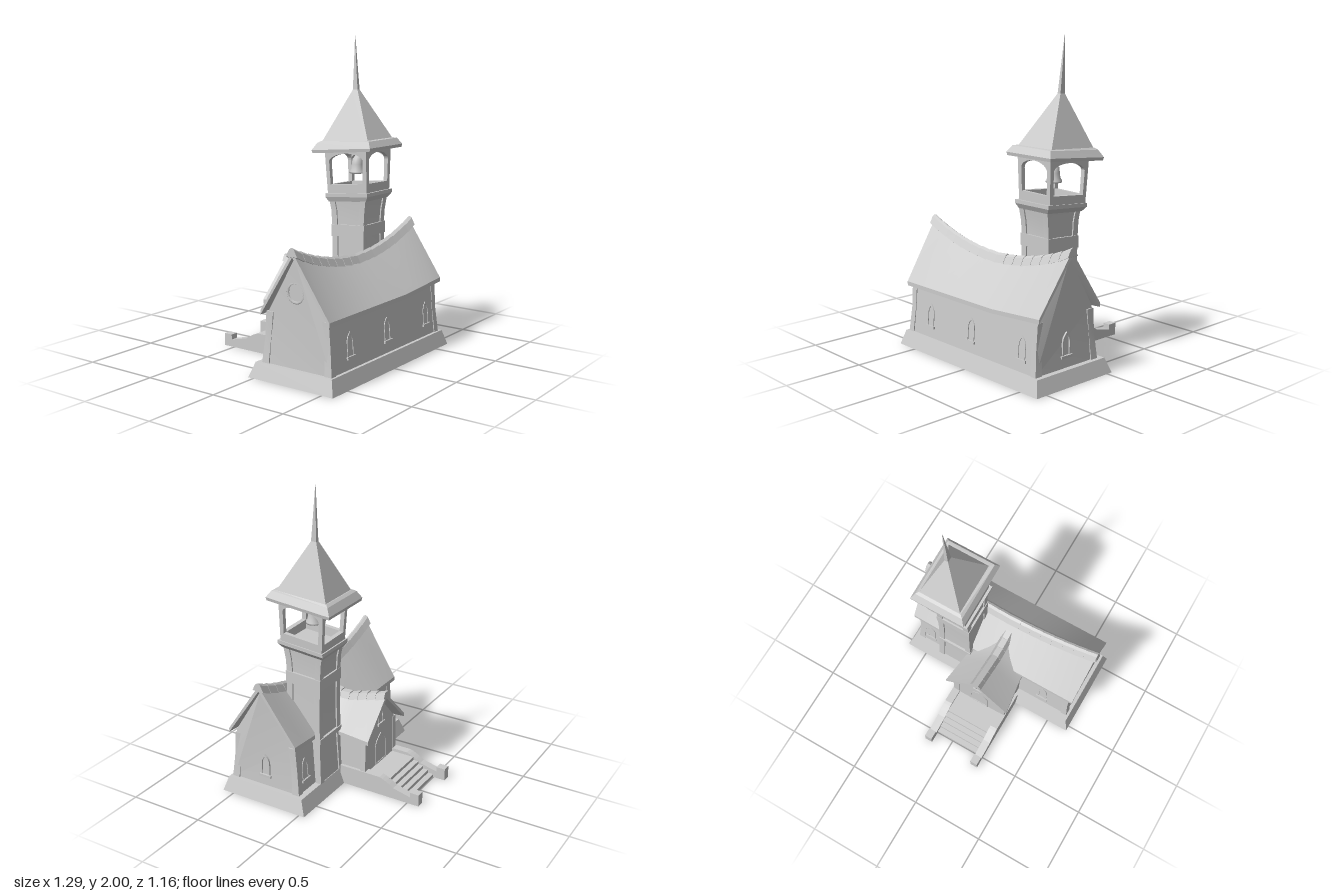
import * as THREE from 'three';
import { toCreasedNormals } from 'three/addons/utils/BufferGeometryUtils.js';

const grey = new THREE.MeshStandardMaterial({ color: 0xcccccc });
const greyOpen = new THREE.MeshStandardMaterial({ color: 0xcccccc, side: THREE.DoubleSide });
const lerp = THREE.MathUtils.lerp;

function mesh(parent, name, geo, mat = grey) {
  const m = new THREE.Mesh(geo, mat);
  m.name = name;
  parent.add(m);
  return m;
}

// Solid through rings of [x, y, z] points, faces turned outward; the first ring may stay open
function loft(rings, open = false) {
  const n = rings[0].length, pts = rings.flat(), tris = [];
  for (let r = 0; r < rings.length - 1; r++) {
    for (let i = 0; i < n; i++) {
      const a = r * n + i, b = r * n + (i + 1) % n;
      tris.push([a, b, b + n], [a, b + n, a + n]);
    }
  }
  const last = (rings.length - 1) * n;
  for (let i = 1; i < n - 1; i++) {
    if (!open) tris.push([0, i + 1, i]);
    tris.push([last, last + i, last + i + 1]);
  }
  const v = pts.map(p => new THREE.Vector3(...p));
  let volume = 0;
  for (const [a, b, c] of tris) volume += v[a].clone().sub(v[0]).dot(v[b].clone().sub(v[0]).cross(v[c].clone().sub(v[0])));
  if (volume < 0) tris.forEach(t => t.reverse());
  const g = new THREE.BufferGeometry();
  g.setAttribute('position', new THREE.Float32BufferAttribute(tris.flat().flatMap(i => pts[i]), 3));
  return toCreasedNormals(g, 0.25);
}

// Horizontal rectangle ring; tilt raises the +z side
const rect = (y, cx, cz, hx, hz, tilt = 0) =>
  [[-1, -1], [1, -1], [1, 1], [-1, 1]].map(([a, b]) => [cx + a * hx, y + tilt * b * hz, cz + b * hz]);

// Pointed arch outline standing on y = y0
function pointedArch(w, h, y0 = 0, C = THREE.Shape) {
  const s = new C();
  s.moveTo(-w / 2, y0);
  s.lineTo(w / 2, y0);
  s.lineTo(w / 2, y0 + h * 0.6);
  s.quadraticCurveTo(w / 2, y0 + h * 0.82, 0, y0 + h);
  s.quadraticCurveTo(-w / 2, y0 + h * 0.82, -w / 2, y0 + h * 0.6);
  return s;
}

// Framed arch lying against a wall that leans inward
function archOpening(parent, name, x, y, z, turn, lean, w, h, sill = true) {
  const g = new THREE.Group();
  g.name = name;
  const s = pointedArch(w, h);
  s.holes.push(pointedArch(w - 0.018, h - 0.022, 0.008, THREE.Path));
  const frame = new THREE.ExtrudeGeometry(s, { depth: 0.014, bevelEnabled: false, curveSegments: 4 });
  mesh(g, 'archFrame', frame.translate(0, 0, -0.01));
  if (sill) mesh(g, 'sill', new THREE.BoxGeometry(0.084, 0.016, 0.02));
  g.position.set(x, y, z);
  g.rotation.set(-lean, turn, 0, 'YXZ');
  parent.add(g);
}

// Sagging main roof lines
const ridgeY = x => 0.661 + 0.345 * (x + 0.01) ** 2;
const eaveY = x => x < 0.2 ? 0.402 : 0.402 + (x - 0.2) * 0.07;
const MID = 0.285;

function buildHall(root) {
  const hall = new THREE.Group();
  hall.name = 'hall';
  root.add(hall);
  // Plinth, hollow underneath
  mesh(hall, 'plinth', loft([rect(0, -0.003, 0.27, 0.647, 0.308), rect(0.095, -0.003, 0.274, 0.618, 0.276)], true), greyOpen);
  const steps = Array.from({ length: 13 }, (_, i) => i / 12);

  // Walls with gables, cross-section swept along x
  mesh(hall, 'walls', loft(steps.map(t => {
    const xb = lerp(-0.595, 0.58, t), xe = lerp(-0.585, 0.57, t), xr = lerp(-0.615, 0.605, t);
    return [[xb, 0.095, 0.53], [xe, eaveY(xe) - 0.002, 0.505], [xr, ridgeY(xr) - 0.034, MID],
      [xe, eaveY(xe) - 0.002, 0.065], [xb, 0.095, 0.04]];
  })));
  for (const s of [-1, 1]) {
    mesh(hall, 'roofSlope', loft(steps.map(t => {
      const xe = lerp(-0.62, 0.612, t), xr = lerp(-0.638, 0.625, t), ze = MID + s * 0.247;
      return [[xe, eaveY(xe) + 0.015, ze], [xr, ridgeY(xr), MID], [xr, ridgeY(xr) - 0.034, MID], [xe, eaveY(xe) - 0.012, ze]];
    })));
    for (const [xb, xt] of [[-0.582, -0.572], [0.567, 0.557]]) {
      mesh(hall, 'cornerPost', loft([rect(0.095, xb, MID + s * 0.227, 0.022, 0.025),
        rect(0.25, xt, MID + s * 0.214, 0.02, 0.022), rect(0.41, xt, MID + s * 0.2, 0.022, 0.025)]));
    }
  }
  // Ridge tiles, each one lapping over the next
  for (let i = 0; i < 16; i++) {
    const a = lerp(-0.643, 0.63, i / 16), b = lerp(-0.643, 0.63, (i + 1) / 16);
    const ring = (x, k) => [[-0.038, 0.04], [0.006, 0.017], [0.017, 0], [0.006, -0.017], [-0.038, -0.04]]
      .map(([y, z]) => [x, ridgeY(x) + k + y, MID + z]);
    const lift = i < 8 ? [0.005, 0] : [0, 0.005];
    mesh(hall, 'ridgeTile', loft([ring(a, lift[0]), ring(b, lift[1])]));
  }
  // Windows
  for (const x of [-0.395, 0, 0.455]) archOpening(hall, 'frontWindow', x, 0.165, 0.525, 0, 0.08, 0.065, 0.15);
  for (const x of [-0.4, 0.49]) archOpening(hall, 'backWindow', x, 0.165, 0.045, Math.PI, 0.08, 0.065, 0.15);
  archOpening(hall, 'gableWindow', 0.58, 0.165, MID, Math.PI / 2, -0.03, 0.065, 0.15);
  const round = mesh(hall, 'roundWindow', new THREE.TorusGeometry(0.058, 0.009, 4, 14));
  round.position.set(-0.602, 0.55, MID);
  round.rotation.y = Math.PI / 2;
}

// Shape in (-z, y) swept along x from x0
function sweepX(shape, x0, width) {
  const g = new THREE.ExtrudeGeometry(shape, { depth: width, bevelEnabled: false, curveSegments: 4 });
  return g.rotateY(Math.PI / 2).translate(x0, 0, 0);
}

function buildPorch(root) {
  const porch = new THREE.Group();
  porch.name = 'porch';
  root.add(porch);
  const cx = -0.033;
  const ridge = z => 0.535 + 0.25 * Math.max(0, 0.03 - z) + 1.3 * Math.max(0, z - 0.03) ** 2;
  const half = z => 0.2 + 0.135 * Math.max(0, 0.03 - z);
  const span = (a, b) => Array.from({ length: 8 }, (_, i) => lerp(a, b, i / 7));

  mesh(porch, 'porchWalls', loft(span(-0.188, 0.12).map(z => [[cx - 0.188, 0.095, z], [cx - 0.185, 0.352, z],
    [cx, ridge(z) - 0.035, z], [cx + 0.185, 0.352, z], [cx + 0.188, 0.095, z]])));
  for (const s of [-1, 1]) {
    mesh(porch, 'porchRoofSlope', loft(span(-0.23, 0.22).map(z => {
      const x = cx + s * half(z);
      return [[x, 0.365, z], [cx, ridge(z), z], [cx, ridge(z) - 0.03, z], [x, 0.34, z]];
    })));
    mesh(porch, 'porchPost', loft([rect(0.095, cx + s * 0.18, -0.173, 0.022, 0.018), rect(0.36, cx + s * 0.172, -0.173, 0.022, 0.018)]));

    // Stair side wall with a swept top and end post
    const p = new THREE.Shape();
    p.moveTo(0.01, 0);
    p.lineTo(0.01, 0.125);
    p.lineTo(0.3, 0.125);
    p.quadraticCurveTo(0.34, 0.115, 0.4, 0.075);
    p.lineTo(0.52, 0.047);
    p.lineTo(0.52, 0.08);
    p.lineTo(0.58, 0.08);
    p.lineTo(0.58, 0);
    mesh(porch, 'stairWall', sweepX(p, cx + s * 0.182 - 0.026, 0.052));
  }
  // Ridge tiles
  for (let i = 0; i < 7; i++) {
    const ring = (t, k) => {
      const z = lerp(-0.23, 0.225, t / 7);
      return [[-0.04, -0.028], [-0.02, 0.012], [0.02, 0.012], [0.04, -0.028]].map(([x, y]) => [cx + x, ridge(z) + y + k, z]);
    };
    mesh(porch, 'porchRidgeTile', loft([ring(i, 0.007), ring(i + 1, 0)]));
  }
  // Thin folded steps below the landing
  const top = [[0.02, 0.105]];
  [0.35, 0.387, 0.423, 0.46, 0.497].forEach((u, i) => top.push([u, 0.105 - i * 0.021], [u, Math.max(0, 0.084 - i * 0.021)]));
  const under = top.map(([u, y]) => [u - 0.01, Math.max(0, y - 0.012)]).reverse();
  const profile = new THREE.Shape([...top, ...under].map(q => new THREE.Vector2(...q)));
  mesh(porch, 'steps', sweepX(profile, -0.195, 0.325));
  archOpening(porch, 'door', cx, 0.108, -0.188, Math.PI, 0, 0.14, 0.21, false);
  archOpening(porch, 'porchWindow', cx, 0.385, -0.188, Math.PI, 0, 0.055, 0.11);
}

function buildTower(root) {
  const tower = new THREE.Group();
  tower.name = 'tower';
  root.add(tower);
  // Shaft outline: y, centre x, centre z, half width x, half width z
  const shaft = [[0.095, 0.27, 0.125, 0.13, 0.132], [0.35, 0.27, 0.125, 0.122, 0.122], [0.6, 0.268, 0.125, 0.118, 0.12],
    [0.8, 0.268, 0.12, 0.117, 0.12], [0.9, 0.268, 0.12, 0.118, 0.126], [0.985, 0.268, 0.118, 0.124, 0.14]];
  mesh(tower, 'shaft', loft(shaft.map(([y, x, z, a, b]) => rect(y, x, z, a - 0.009, b - 0.009))));
  for (const s of [-1, 1]) for (const t of [-1, 1]) {
    mesh(tower, 'cornerStrip', loft(shaft.map(([y, x, z, a, b]) =>
      rect(y, x + s * (a - 0.02), z + t * (b - 0.02), 0.02, 0.02))));
  }
  for (const [y, h] of [[0.38, 0.03], [0.74, 0.075]]) {
    mesh(tower, 'band', loft([rect(y, 0.268, 0.122, 0.122, 0.124, 0.06), rect(y + h, 0.268, 0.122, 0.122, 0.124, 0.06)]));
  }
  // Ledge below the belfry
  mesh(tower, 'ledge', loft([rect(0.965, 0.27, 0.118, 0.124, 0.142, 0.08), rect(0.995, 0.277, 0.118, 0.143, 0.16, 0.08),
    rect(1.018, 0.277, 0.118, 0.144, 0.16, 0.08)]));

  // Belfry: four arched panels, widening upward and leaning
  for (let side = 0; side < 4; side++) {
    const across = side % 2 === 0, hw = across ? 0.14 : 0.156, off = across ? 0.156 : 0.14, open = across ? 0.111 : 0.131;
    const s = new THREE.Shape([[-hw, 1.005], [hw, 1.005], [hw, 1.3], [-hw, 1.3]].map(p => new THREE.Vector2(...p)));
    const hole = new THREE.Path();
    hole.moveTo(-open, 1.072);
    hole.lineTo(open, 1.072);
    hole.lineTo(open, 1.21);
    hole.absellipse(0, 1.21, open, 0.056, 0, Math.PI, false);
    s.holes.push(hole);
    const g = new THREE.ExtrudeGeometry(s, { depth: 0.028, bevelEnabled: false, curveSegments: 8 });
    g.translate(0, 0, off - 0.028).rotateY(side * Math.PI / 2);
    const p = g.attributes.position;
    for (let i = 0; i < p.count; i++) {
      const x = p.getX(i), y = p.getY(i), z = p.getZ(i), k = 0.94 + (y - 1.005) * 0.25;
      p.setXYZ(i, 0.282 + x * k, y + 0.085 * z - 0.02 * x, 0.114 + z * k - (y - 1.005) * 0.03);
    }
    g.computeVertexNormals();
    mesh(tower, 'belfryArch', g);
  }
  // Bell
  const profile = [[0, 1.24], [0.018, 1.238], [0.032, 1.222], [0.036, 1.19], [0.039, 1.16], [0.049, 1.142], [0.049, 1.132], [0.032, 1.137], [0, 1.21]];
  mesh(tower, 'bell', new THREE.LatheGeometry(profile.map(q => new THREE.Vector2(...q)), 20), greyOpen)
    .position.set(0.284, 0, 0.102);
  mesh(tower, 'bellHanger', new THREE.CylinderGeometry(0.005, 0.005, 0.07, 8).translate(0.284, 1.265, 0.102));

  // Flared roof and bent spire
  mesh(tower, 'towerRoof', loft([rect(1.278, 0.288, 0.095, 0.183, 0.218, 0.085), rect(1.298, 0.288, 0.095, 0.187, 0.222, 0.085),
    rect(1.34, 0.288, 0.095, 0.163, 0.196, 0.08), rect(1.348, 0.29, 0.095, 0.146, 0.178, 0.06)]));
  mesh(tower, 'spire', loft([rect(1.335, 0.292, 0.095, 0.146, 0.178, 0.06), rect(1.66, 0.311, 0.071, 0.012, 0.018),
    rect(1.8, 0.315, 0.064, 0.008, 0.01), rect(2, 0.321, 0.054, 0.001, 0.001)]));
}

export function createModel() {
  const root = new THREE.Group();
  root.name = 'chapel';
  buildHall(root);
  buildPorch(root);
  buildTower(root);
  return root;
}
